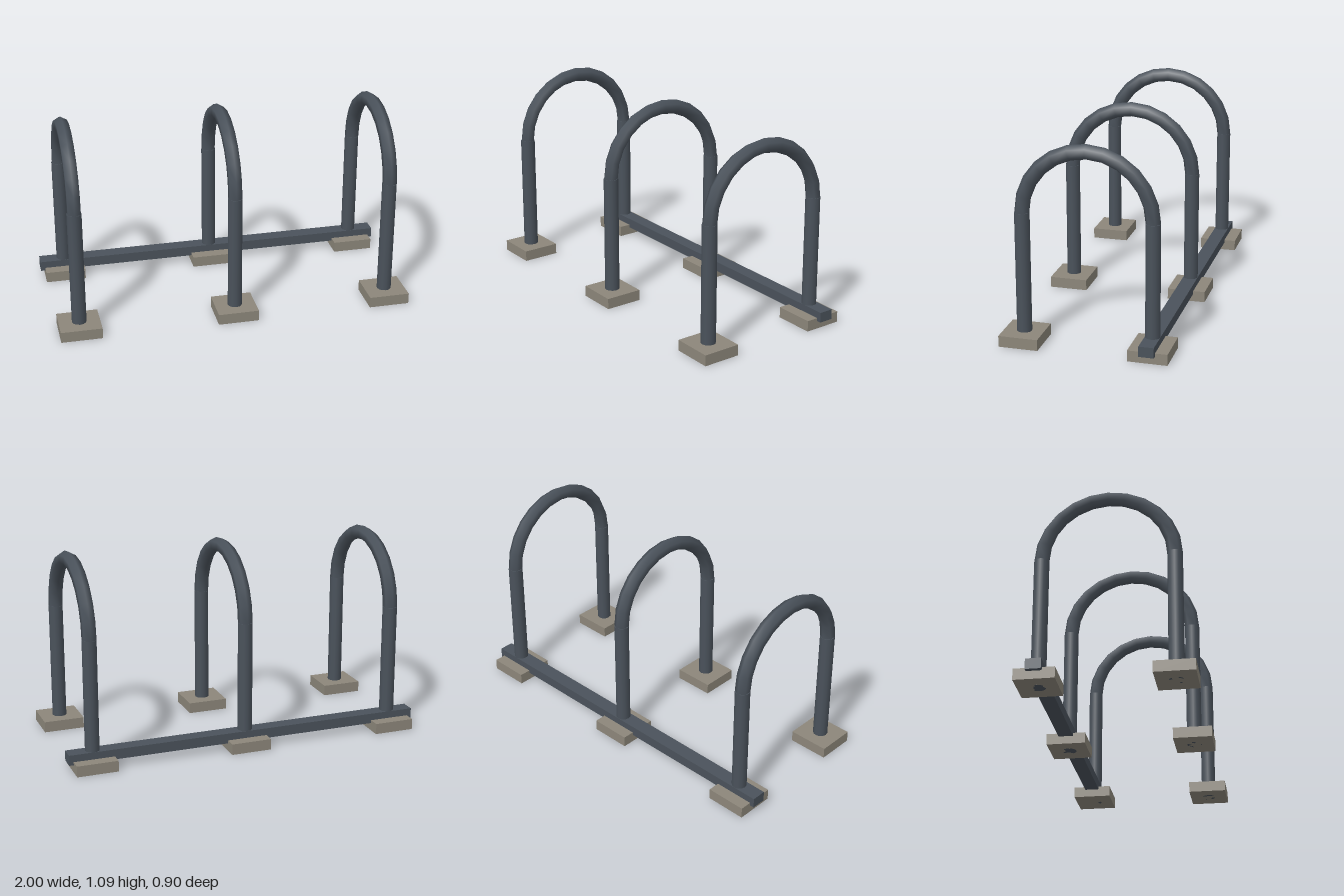
import * as THREE from 'three';

export function createModel() {
  const group = new THREE.Group();
  const steel = new THREE.MeshStandardMaterial({ color: 0x4a525b });
  const concrete = new THREE.MeshStandardMaterial({ color: 0x8c867a });

  const legZ = 0.343, legHeight = 0.705, tube = 0.04;

  function add(parent, name, geometry, material, x, y, z) {
    const mesh = new THREE.Mesh(geometry, material);
    mesh.name = name;
    mesh.position.set(x, y, z);
    parent.add(mesh);
    return mesh;
  }

  const footingGeo = new THREE.BoxGeometry(0.225, 0.06, 0.21);
  const legGeo = new THREE.CylinderGeometry(tube, tube, legHeight, 12);
  const archGeo = new THREE.TorusGeometry(legZ, tube, 6, 12, Math.PI);
  archGeo.rotateY(Math.PI / 2);

  // Three hoops, each with two legs on footings and a half-round top
  [-0.863, 0, 0.863].forEach((x) => {
    const hoop = new THREE.Group();
    hoop.name = 'hoop';
    hoop.position.x = x;
    for (const [side, z] of [['front', legZ], ['back', -legZ]]) {
      add(hoop, side + 'Footing', footingGeo, concrete, 0, 0.03, z);
      add(hoop, side + 'Leg', legGeo, steel, 0, legHeight / 2, z);
    }
    add(hoop, 'arch', archGeo, steel, 0, legHeight, 0);
    group.add(hoop);
  });

  // Rail joining the back legs
  add(group, 'baseRail', new THREE.BoxGeometry(2, 0.056, 0.08), steel, 0, 0.071, -legZ);

  return group;
}
